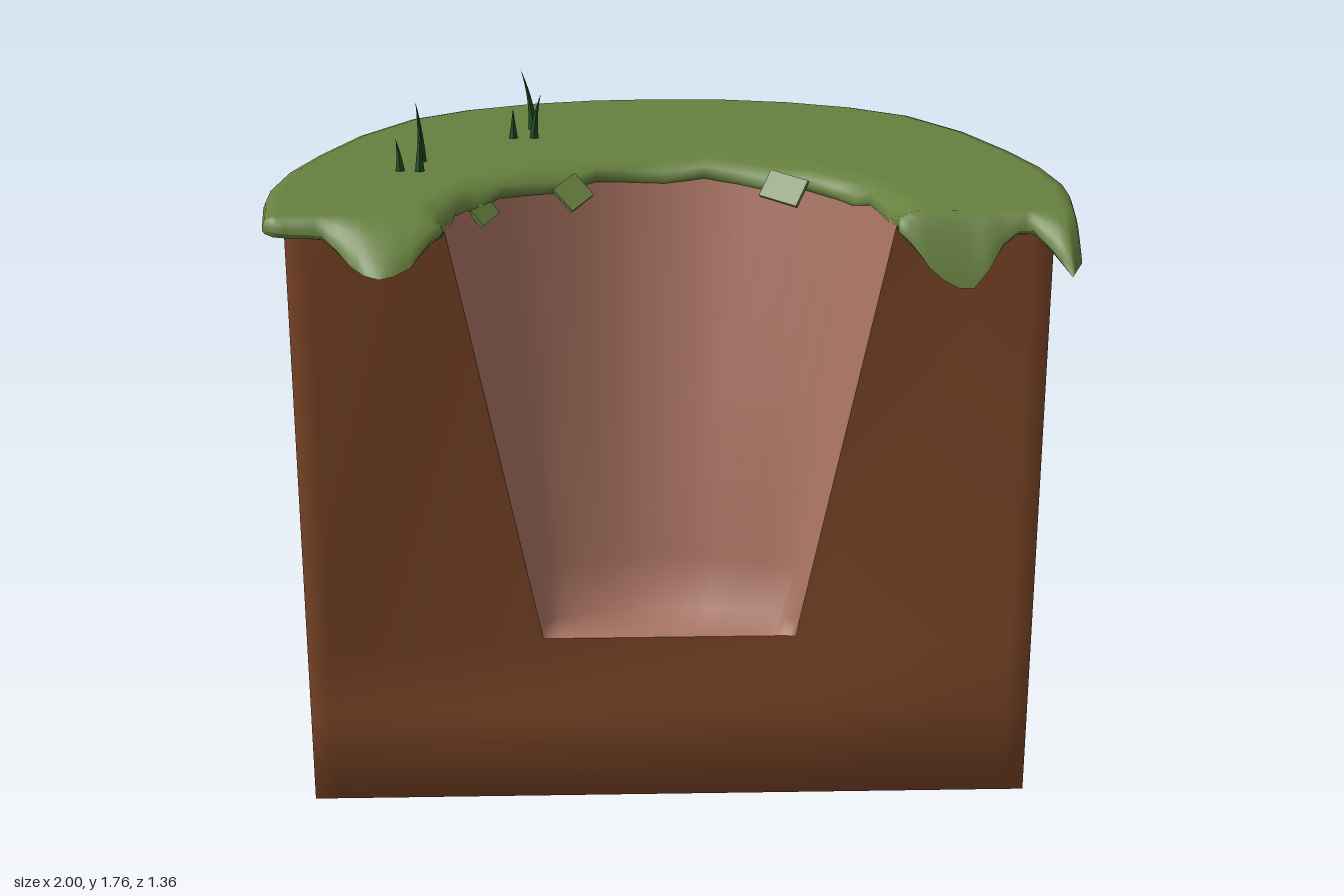
import * as THREE from 'three';

const soil = new THREE.MeshStandardMaterial({ color: 0x7a4426 });
const clay = new THREE.MeshStandardMaterial({ color: 0xa87260 });
const turf = new THREE.MeshStandardMaterial({ color: 0x66803e });
const blade = new THREE.MeshStandardMaterial({ color: 0x1f4a22 });
for (const m of [soil, clay, turf, blade]) m.side = THREE.DoubleSide;

const { lerp, clamp } = THREE.MathUtils;

// Smooth surface through rows of points; rows may wrap round, cells may be left out
function grid(name, rows, material, { wrap = false, skip = () => false } = {}) {
  const n = rows[0].length, index = [];
  for (let j = 0; j < rows.length - (wrap ? 0 : 1); j++) {
    const k = (j + 1) % rows.length;
    for (let i = 0; i < n - 1; i++) {
      if (skip(i, j)) continue;
      const a = j * n + i, b = a + 1, c = k * n + i + 1, d = k * n + i;
      index.push(a, b, c, a, c, d);
    }
  }
  const geo = new THREE.BufferGeometry();
  geo.setAttribute('position', new THREE.Float32BufferAttribute(rows.flat(2), 3));
  geo.setIndex(index);
  geo.computeVertexNormals();
  const mesh = new THREE.Mesh(geo, material);
  mesh.name = name;
  return mesh;
}

// Share soft normals along the front corners and the front of the foot
function softenFront(mesh) {
  const { position, normal } = mesh.geometry.attributes, n = new THREE.Vector3();
  for (let i = 0; i < position.count; i++) {
    const x = position.getX(i), corner = Math.abs(x) > 0.93, foot = position.getY(i) < 0.01;
    if (position.getZ(i) < 0.48 || !(corner || foot)) continue;
    n.set(corner ? Math.sign(x) * 0.7 : 0, foot ? -0.6 : 0, 0.8).normalize();
    normal.setXYZ(i, n.x, n.y, n.z);
  }
  return mesh;
}

// Complete a half outline (centre to right end) by mirroring it in x
const mirror = (half) => [...half.slice(1).reverse().map(([x, z]) => [-x, z]), ...half];

// Read a list of values at v = 0..1
function sample(list, v) {
  const f = v * (list.length - 1), i = Math.min(Math.floor(f), list.length - 2);
  return lerp(list[i], list[i + 1], f - i);
}

const soilEdge = mirror([[0, -0.65], [0.18, -0.64], [0.355, -0.61], [0.515, -0.55], [0.655, -0.45],
  [0.775, -0.28], [0.86, -0.09], [0.91, 0.08], [0.935, 0.25], [0.935, 0.49]]);
const turfOuter = mirror([[0, -0.68], [0.19, -0.67], [0.37, -0.635], [0.54, -0.57], [0.69, -0.47],
  [0.82, -0.29], [0.91, -0.09], [0.97, 0.08], [1, 0.25], [1, 0.35], [0.985, 0.5]]);
const turfInner = mirror([[0, 0.02], [0.1, 0.03], [0.18, 0.055], [0.26, 0.1], [0.35, 0.15],
  [0.42, 0.2], [0.47, 0.25], [0.5, 0.3], [0.525, 0.37], [0.54, 0.43], [0.55, 0.5]]);

// Tongues of turf hanging over the front: reach forward and drop, from inner to outer edge
const tongues = {
  left: {
    reach: [0.02, 0.045, 0.065, 0.075, 0.08, 0.08, 0.07, 0.04, 0.03, 0.03, 0.09, 0.18, 0.1],
    drop: [0.02, 0.05, 0.1, 0.13, 0.148, 0.148, 0.105, 0.05, 0.02, 0.02, 0.05, 0.09, 0.08],
  },
  right: {
    reach: [0.02, 0.07, 0.13, 0.16, 0.17, 0.155, 0.11, 0.06, 0.03, 0.03, 0.03, 0.03, 0.01],
    drop: [0.01, 0.03, 0.07, 0.08, 0.085, 0.08, 0.07, 0.045, 0.02, 0.015, 0.015, 0.01, 0.01],
  },
};

function createTurf() {
  // Stations run along the horseshoe, with extra ones for the tongues at both ends
  const steps = [0.25, 0.5, 0.75, 0.92, 1], last = turfOuter.length - 1;
  const stations = [
    ...[...steps].reverse().map((t) => ({ i: 0, t, tongue: tongues.right })),
    ...turfOuter.map((_, i) => ({ i, t: 0 })),
    ...steps.map((t) => ({ i: last, t, tongue: tongues.left })),
  ];
  const across = [0, 0.015, 0.06];
  for (let k = 1.5; k <= 11; k += 0.5) across.push(k / 12);
  across.push(0.94, 0.985, 1);

  const point = (v, side) => stations.map(({ i, t, tongue }) => {
    const x = lerp(turfInner[i][0], turfOuter[i][0], v);
    let z = lerp(turfInner[i][1], turfOuter[i][1], v), y = 1.575;
    const d = Math.min(Math.min(v, 1 - v) / 0.06, 1);
    const half = 0.025 * Math.sqrt(1 - (1 - d) ** 2) * Math.sqrt(1 - t * t);
    y -= (0.02 + 0.012 * Math.sin(i * 2.1)) * Math.max(0, 1 - v / 0.1) * (1 - t); // ragged inner rim
    if (tongue) {
      z += sample(tongue.reach, v) * t;
      y -= sample(tongue.drop, v) * t ** 1.3;
    }
    return [x, y + side * half, z];
  });
  const rows = [
    ...across.map((v) => point(v, 1)),
    ...across.slice(1, -1).reverse().map((v) => point(v, -1)),
  ];
  return grid('turf', rows, turf, { wrap: true });
}

// Thin curved blade of grass, leaning toward its tip
function createBlade([x, z, h, leanX, leanZ]) {
  const geo = new THREE.ConeGeometry(0.013, h, 5, 5);
  geo.translate(0, h / 2, 0);
  const p = geo.attributes.position;
  for (let i = 0; i < p.count; i++) {
    const t = (p.getY(i) / h) ** 2;
    p.setX(i, p.getX(i) + leanX * t);
    p.setZ(i, p.getZ(i) + leanZ * t);
  }
  geo.computeVertexNormals();
  const mesh = new THREE.Mesh(geo, blade);
  mesh.name = 'grassBlade';
  mesh.position.set(x, 1.595, z);
  return mesh;
}

export function createModel() {
  const model = new THREE.Group();
  model.name = 'soilBlock';

  // Curved back wall, drawn in toward the foot, running on into the underside
  const wall = (y, taper, inset) => soilEdge.map(([x, z]) =>
    [x * (1 - inset * clamp((0.25 - z) / 0.55, 0, 1)), y, 0.49 + (z - 0.49) * taper]);
  model.add(softenFront(grid('backWall',
    [wall(1.56, 1, 0), wall(0.28, 0.825, 0.14), wall(0, 0.825, 0.14), wall(0, 0, 0.14)], soil)));

  // Front face with a tapering notch
  const frontRow = (y, inner, z) => [[-0.935, y, 0.49], [-0.88, y, 0.49], [-inner, y, z],
    [inner, y, z], [0.88, y, 0.49], [0.935, y, 0.49]];
  model.add(softenFront(grid('frontFace', [frontRow(0, 0.33, 0.49), frontRow(0.25, 0.33, 0.49),
    frontRow(0.42, 0.33, 0.41), frontRow(1.56, 0.55, 0.485)], soil, { skip: (i, j) => i === 2 && j === 2 })));

  // Hollow: curved wall sloping forward down to the lip, with a short sloping floor
  const hollowRow = (f) => turfInner.map(([x, z]) => {
    const zTop = z - 0.015;
    return [x * lerp(1, 0.6, f), 1.56 - 1.14 * f, lerp(zTop, 0.41 - (0.485 - zTop) * 0.2, f)];
  });
  const lip = hollowRow(1).map(([x, y]) => [x, y, 0.41]);
  model.add(grid('hollow', [lip, hollowRow(0.97), hollowRow(0.85), hollowRow(0.5), hollowRow(0)], clay));

  model.add(createTurf());

  // Small flaps of turf hanging into the hollow: x, y, z, width, turn, tilt
  for (const [x, y, z, w, turn, tilt] of [[-0.47, 1.54, 0.25, 0.08, 0.9, 0.25],
    [-0.24, 1.54, 0.11, 0.08, 0.4, 0.5], [0.3, 1.555, 0.14, 0.11, -0.5, -0.15]]) {
    const flap = new THREE.Mesh(new THREE.BoxGeometry(w, 0.075, 0.012), turf);
    flap.name = 'turfFlap';
    flap.position.set(x, y, z);
    flap.rotation.set(-0.7, turn, tilt, 'YXZ');
    model.add(flap);
  }

  // Two tufts of grass: x, z, height, lean in x, lean in z
  for (const b of [[-0.68, 0.1, 0.085, -0.01, -0.01], [-0.63, 0.105, 0.125, 0.005, -0.02],
    [-0.63, 0.01, 0.17, -0.01, 0.03], [-0.4, -0.22, 0.085, 0, 0],
    [-0.345, -0.22, 0.125, 0.02, 0], [-0.35, -0.315, 0.17, -0.03, 0.005]]) model.add(createBlade(b));

  return model;
}
